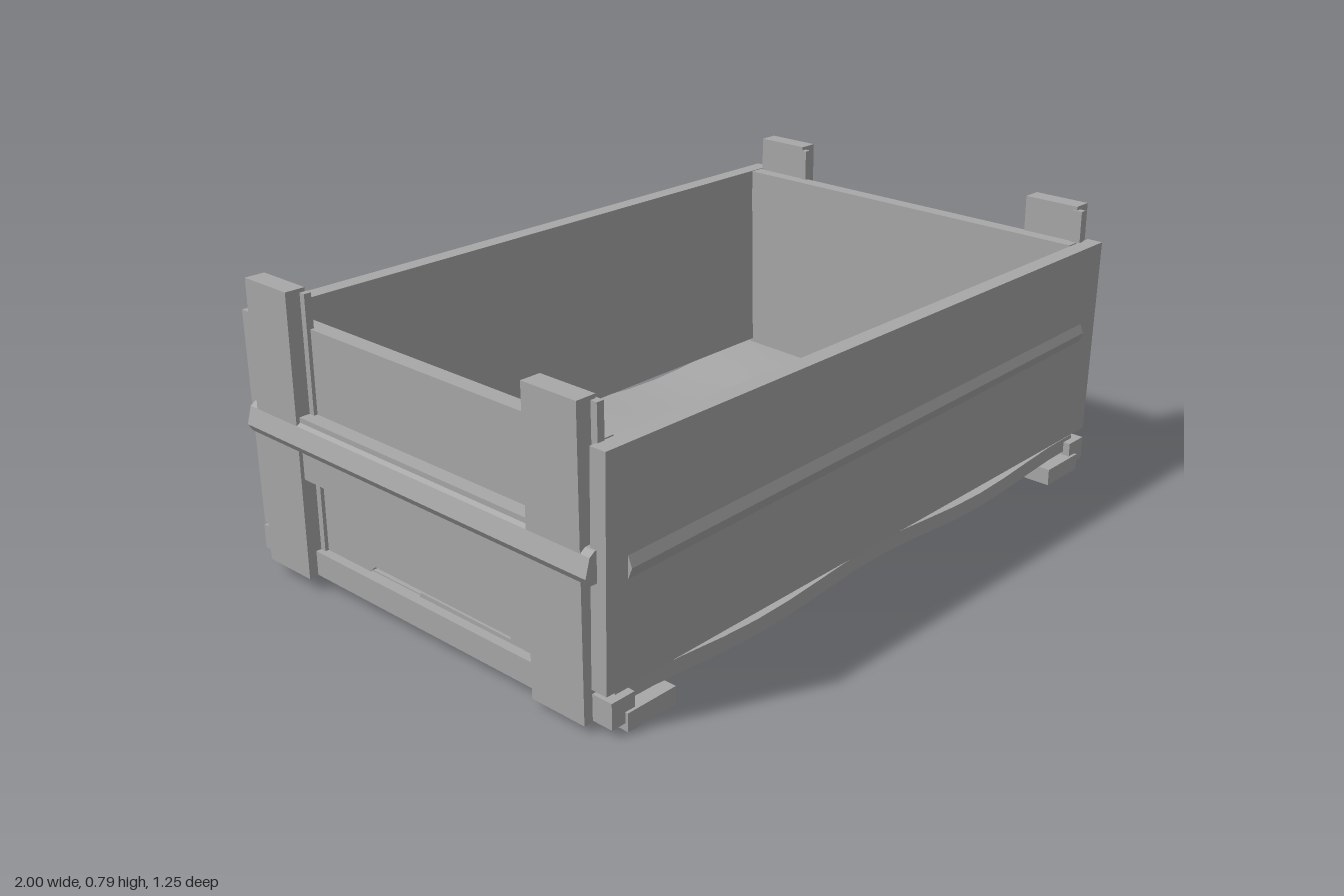
import * as THREE from 'three';

// Slight racking of the whole crate: rises to the left (+x) and to the back (-z)
const rack = (g) => {
  const p = g.attributes.position;
  for (let i = 0; i < p.count; i++) p.setY(i, p.getY(i) + 0.006 * p.getX(i) - 0.017 * p.getZ(i));
  g.computeVertexNormals();
  return g;
};

export function createModel() {
  const crate = new THREE.Group();
  crate.name = 'crate';
  const wood = new THREE.MeshStandardMaterial({ color: 0xa8a8a8 });
  wood.name = 'grey wood';

  const add = (name, g) => {
    const m = new THREE.Mesh(rack(g), wood);
    m.name = name;
    crate.add(m);
  };
  // Board given by its limits; bend(v) may shift each vertex
  const board = (name, [x0, x1], [y0, y1], [z0, z1], bend, nx = 1) => {
    const g = new THREE.BoxGeometry(x1 - x0, y1 - y0, z1 - z0, nx, 1, 1);
    g.translate((x0 + x1) / 2, (y0 + y1) / 2, (z0 + z1) / 2);
    if (bend) {
      const p = g.attributes.position, v = new THREE.Vector3();
      for (let i = 0; i < p.count; i++) {
        v.fromBufferAttribute(p, i);
        bend(v);
        p.setXYZ(i, v.x, v.y, v.z);
      }
    }
    add(name, g);
  };

  // Long front and back walls, leaning out a little at the top
  for (const s of [1, -1]) {
    const name = s > 0 ? 'front' : 'back';
    const zs = s > 0 ? [0.57, 0.615] : [-0.612, -0.565];
    board(name + 'Wall', [-0.965, 0.975], [0.118, 0.677], zs, (v) => {
      v.z += s * 0.02 * (v.y - 0.35);
      if (v.y < 0.2) v.y += 0.004 * v.x;
    });
    // Shallow raised ridge along the middle of the wall
    const ridge = new THREE.Shape([[0, 0.385], [0.012, 0.415], [0, 0.445]].map((a) => new THREE.Vector2(...a)));
    const g = new THREE.ExtrudeGeometry(ridge, { depth: 1.8, bevelEnabled: false });
    g.rotateY(s > 0 ? -Math.PI / 2 : Math.PI / 2);
    g.translate(s * 0.9, 0, s * 0.615);
    const p = g.attributes.position;
    for (let i = 0; i < p.count; i++) p.setY(i, p.getY(i) + 0.02 * p.getX(i));
    add(name + 'Ridge', g);
  }

  // Floor planks with two narrow gaps and a gentle sag
  for (const z of [[-0.6, -0.307], [-0.295, 0.212], [0.216, 0.6]]) {
    board('floorPlank', [-0.93, 0.93], [0.06, 0.1], z, (v) => {
      v.y += 0.012 * Math.cos(v.x * 7) * (Math.abs(v.z) > 0.5 ? 1 : 0.3);
    }, 16);
  }
  // Ends of the two floor gaps stay closed
  board('gapFiller', [-0.93, -0.74], [0.062, 0.098], [-0.309, -0.293]);

  for (const s of [1, -1]) {
    const side = s > 0 ? 'left' : 'right';
    const span = (a, b) => (s > 0 ? [a, b] : [-b, -a]);

    // End panel with a thin slit near the bottom
    const panel = new THREE.Shape([[-0.57, 0.035], [0.57, 0.035], [0.57, 0.676], [-0.57, 0.676]]
      .map((a) => new THREE.Vector2(...a)));
    const slit = [[-0.22, 0.1], [-0.04, 0.095], [-0.03, 0.112], [0.28, 0.11], [0.28, 0.116], [-0.2, 0.118]];
    panel.holes.push(new THREE.Path(slit.map((a) => new THREE.Vector2(...a))));
    const g = new THREE.ExtrudeGeometry(panel, { depth: 0.045, bevelEnabled: false });
    g.rotateY(s * Math.PI / 2);
    g.translate(s * 0.89, 0, 0);
    add(side + 'EndPanel', g);

    // Corner posts
    for (const z of [[0.4, 0.562], [-0.562, -0.402]]) {
      board(side + 'Post', span(0.93, 0.985), [0.032, 0.775], z);
    }
    // Thin backing strips beside the posts
    board(side + 'PostBacking', span(0.925, 0.945), [0.035, 0.765], [0.55, 0.58]);
    board(side + 'PostBacking', span(0.925, 0.945), [0.035, 0.765], [-0.402, -0.385]);

    // Middle rail between the posts
    board(side + 'Rail', span(0.925, 0.975), [0.298, 0.46], [-0.405, 0.405]);

    // Sloped strap across the rail and posts
    const profile = new THREE.Shape([[0.93, 0.46], [0.93, 0.385], [0.985, 0.385], [0.998, 0.405], [0.985, 0.45], [0.97, 0.46]]
      .map(([x, y]) => new THREE.Vector2(s * x, y)));
    const strap = new THREE.ExtrudeGeometry(profile, { depth: 1.18, bevelEnabled: false });
    strap.translate(0, 0.01 * s, -0.59);
    add(side + 'Strap', strap);

    // Bottom slat of the end, and the runner under the floor
    board(side + 'BottomSlat', span(0.89, 0.96), [0.035, 0.1], [-0.62, 0.62]);
    board(side + 'Runner', span(0.77, 0.92), [0.016, 0.062], [-0.61, 0.628]);
  }
  return crate;
}
